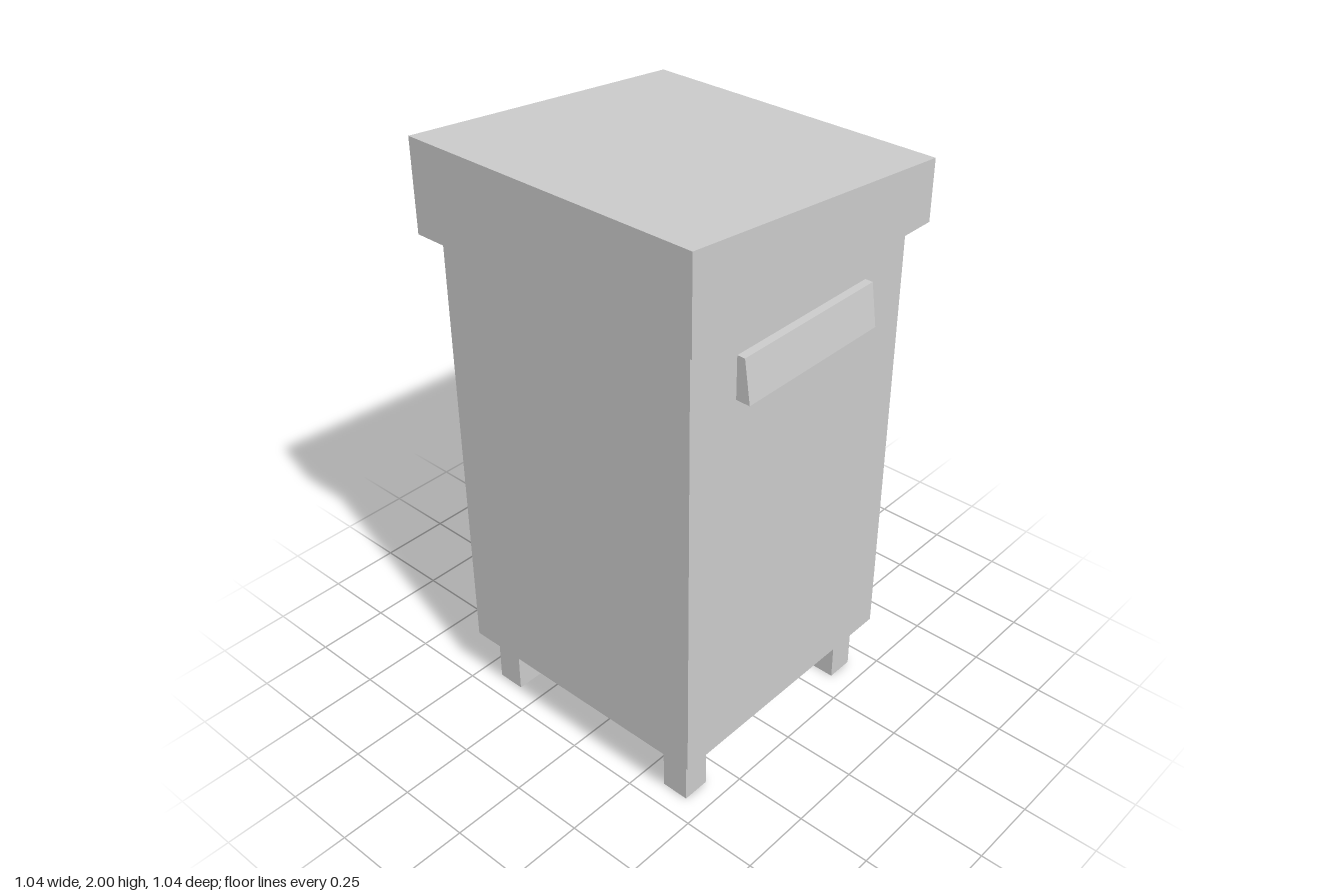
import * as THREE from 'three';

const material = new THREE.MeshStandardMaterial({ color: 0xcccccc, flatShading: true });

// Straight prism of an outline, centred along its depth
function prism(points, depth) {
  const shape = new THREE.Shape(points.map(([x, y]) => new THREE.Vector2(x, y)));
  return new THREE.ExtrudeGeometry(shape, { depth, bevelEnabled: false }).translate(0, 0, -depth / 2);
}

export function createModel() {
  const model = new THREE.Group();
  const add = (name, geometry, x = 0, y = 0, z = 0) => {
    const mesh = new THREE.Mesh(geometry, material);
    mesh.name = name;
    mesh.position.set(x, y, z);
    model.add(mesh);
    return mesh;
  };

  // Tall square body
  add('body', new THREE.BoxGeometry(0.947, 1.505, 0.947), 0, 0.9475, 0);

  // Overhanging lid, sloping down towards the back
  const r = 0.521;
  const lid = prism([[-r, 1.7], [r, 1.7], [r, 2], [-r, 1.9]], 2 * r);
  add('lid', lid.rotateY(-Math.PI / 2));

  // Wedge-shaped handle on each side
  const handle = prism([[0.47, 1.45], [0.521, 1.45], [0.5, 1.59], [0.47, 1.59]], 0.57);
  add('leftHandle', handle);
  add('rightHandle', handle).rotation.y = Math.PI;

  // Four short legs
  const leg = new THREE.BoxGeometry(0.095, 0.2, 0.095);
  for (const [side, x] of [['Left', 0.38], ['Right', -0.38]])
    for (const [end, z] of [['front', 0.38], ['back', -0.38]])
      add(`${end}${side}Leg`, leg, x, 0.1, z);

  return model;
}
